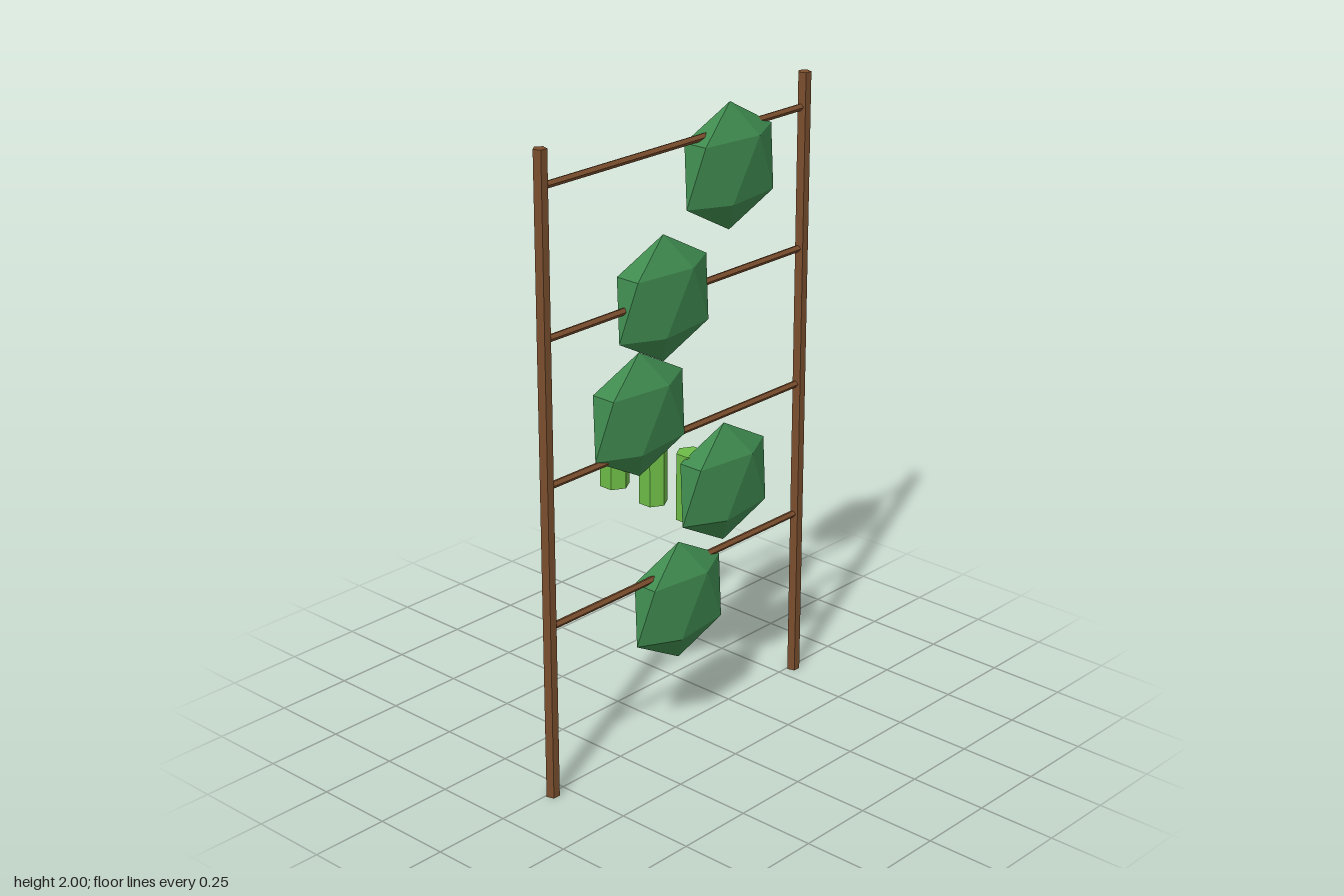
import * as THREE from 'three';
import { ConvexGeometry } from 'three/addons/geometries/ConvexGeometry.js';

const wood = new THREE.MeshStandardMaterial({ color: 0x7a4e2d, flatShading: true });
const leaf = new THREE.MeshStandardMaterial({ color: 0x3f8a4f, flatShading: true });
const pod = new THREE.MeshStandardMaterial({ color: 0x6dbb47, flatShading: true });

const Z = 0.012; // plane of the trellis

// Flattened icosahedron standing on one corner
function leafGeometry(rx, ry, rz) {
  const points = [new THREE.Vector3(0, ry, 0), new THREE.Vector3(0, -ry, 0)];
  for (const side of [1, -1]) {
    for (let i = 0; i < 5; i++) {
      const a = (i / 5) * Math.PI * 2;
      points.push(new THREE.Vector3(
        side * rx * 0.894 * Math.cos(a), side * ry * 0.48, rz * 0.894 * Math.sin(a)));
    }
  }
  return new ConvexGeometry(points);
}

export function createModel() {
  const group = new THREE.Group();
  const add = (name, geometry, material, x, y, z) => {
    const mesh = new THREE.Mesh(geometry, material);
    mesh.name = name;
    mesh.position.set(x, y, z);
    group.add(mesh);
  };

  // Two upright posts
  const post = new THREE.CylinderGeometry(0.021, 0.021, 2, 5).rotateY(Math.PI);
  add('leftPost', post, wood, 0.555, 1, Z);
  add('rightPost', post, wood, -0.555, 1, Z);

  // Four crossbars
  const bar = new THREE.CylinderGeometry(0.0115, 0.0115, 1.11, 5).rotateZ(Math.PI / 2);
  for (let i = 0; i < 4; i++) add('crossbar', bar, wood, 0, 0.558 + i * 0.445, Z);

  // Leaf clumps winding up the trellis
  const clump = leafGeometry(0.208, 0.195, 0.079);
  const clumps = [[0, 0.448], [0.204, 0.778], [-0.17, 1.11], [-0.066, 1.444], [0.22, 1.78]];
  for (const [x, y] of clumps) add('leafClump', clump, leaf, x, y, Z);

  // Three hanging pods behind, stepping down
  const hanging = new THREE.CylinderGeometry(0.045, 0.045, 0.22, 6);
  for (let i = 0; i < 3; i++) {
    add('hangingPod', hanging, pod, -0.222 + i * 0.166, 1.0 - i * 0.11, -0.04);
  }

  return group;
}
